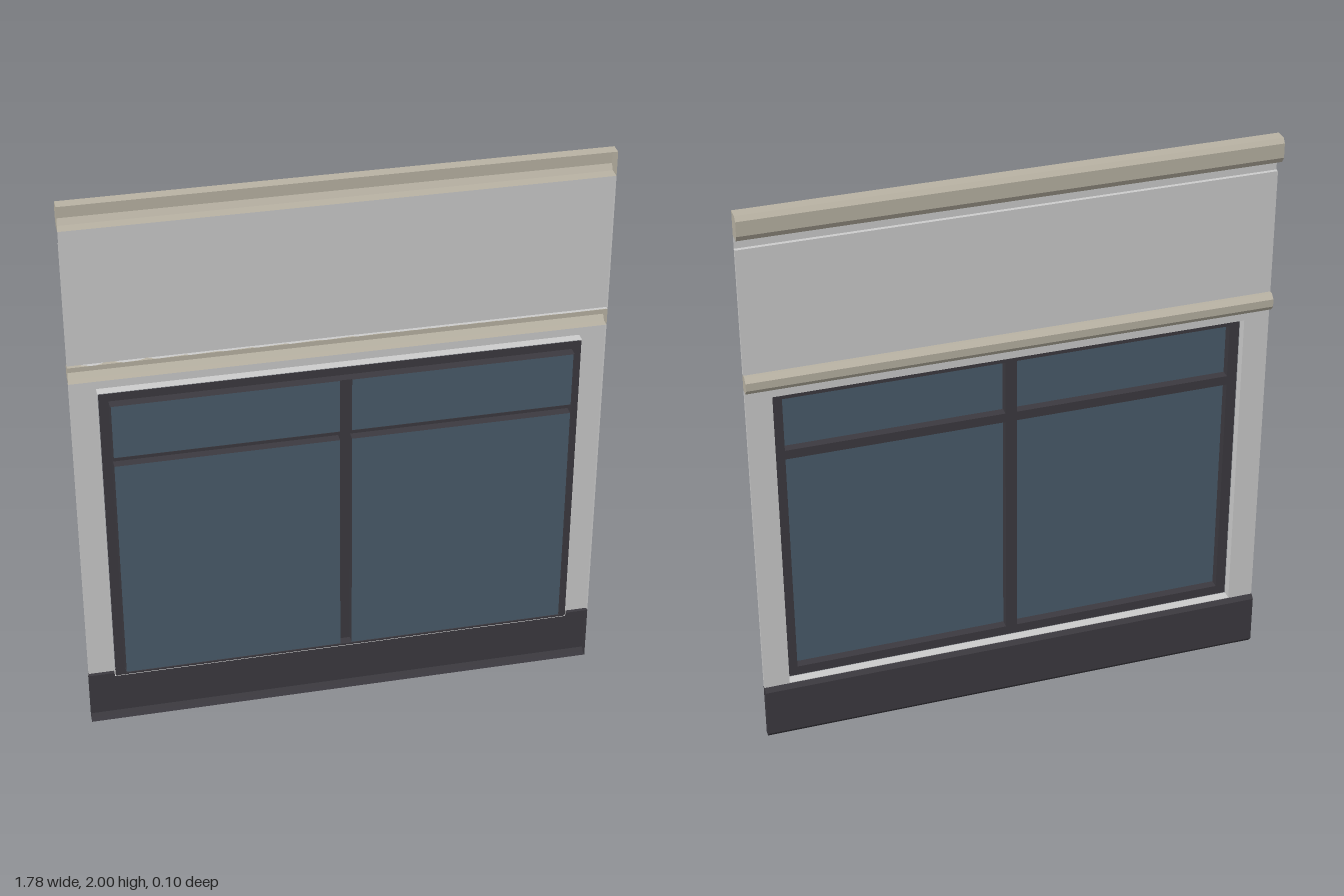
import * as THREE from 'three';
import { mergeGeometries } from 'three/addons/utils/BufferGeometryUtils.js';

const material = (name, color) => {
  const m = new THREE.MeshStandardMaterial({ color, side: THREE.DoubleSide });
  m.name = name;
  return m;
};

const W = 0.89; // half width of the facade

// Sweep a polyline of [x, y, z] points along an offset, giving flat faces
function strip(points, [dx, dy, dz]) {
  const pos = [];
  for (let i = 0; i < points.length - 1; i++) {
    const a = points[i], b = points[i + 1];
    const c = [b[0] + dx, b[1] + dy, b[2] + dz];
    const d = [a[0] + dx, a[1] + dy, a[2] + dz];
    pos.push(...a, ...b, ...c, ...a, ...c, ...d);
  }
  const g = new THREE.BufferGeometry();
  g.setAttribute('position', new THREE.Float32BufferAttribute(pos, 3));
  g.computeVertexNormals();
  return g;
}

// Flat polygon, stripped so that it merges with strips
function flat(shape) {
  const g = new THREE.ShapeGeometry(shape).toNonIndexed();
  g.deleteAttribute('uv');
  return g;
}

const polygon = (pts) => new THREE.Shape(pts.map(([x, y]) => new THREE.Vector2(x, y)));
const corners = ([x0, x1, y0, y1]) => [[x0, y0], [x1, y0], [x1, y1], [x0, y1]];

// Four walls around a rectangle, running from z0 to z1
function tunnel(rect, z0, z1) {
  const c = corners(rect);
  return strip([...c, c[0]].map(([x, y]) => [x, y, z0]), [0, 0, z1 - z0]);
}

// Horizontal profile of [depth, y] points, open at the rear, with end caps
function moulding(profile) {
  const parts = [strip(profile.map(([d, y]) => [-W, y, -d]), [2 * W, 0, 0])];
  for (const x of [-W, W]) {
    parts.push(flat(polygon(profile)).rotateY(Math.PI / 2).translate(x, 0, 0));
  }
  return mergeGeometries(parts);
}

export function createModel() {
  const group = new THREE.Group();
  const wall = material('light grey wall', 0xcccccc);
  const stone = material('beige stone', 0xb9b3a4);
  const dark = material('dark frame', 0x3c3a40);
  const glass = material('blue grey glass', 0x4a5c6b);
  const add = (name, geometry, mat) => {
    const mesh = new THREE.Mesh(geometry, mat);
    mesh.name = name;
    group.add(mesh);
  };

  // Horizontal bands
  add('cornice', moulding([[0, 2], [0.04, 2], [0.052, 1.985], [0.052, 1.935],
    [0.04, 1.915], [0, 1.915]]), stone);
  add('stringCourse', moulding([[0, 1.43], [0.026, 1.43], [0.042, 1.415], [0.042, 1.388],
    [0.028, 1.37], [0, 1.37]]), stone);
  add('plinth', moulding([[0, 0.2], [0.02, 0.2], [0.03, 0.188], [0.03, 0.014],
    [0.02, 0], [0, 0]]), dark);

  // Wall above the string course, and the recessed strip below the cornice
  add('upperWall', moulding([[0, 1.87], [0.013, 1.87], [0.013, 1.43], [0, 1.43]]), wall);
  add('recessedStrip', strip([[-W, 1.87, 0], [-W, 1.915, 0]], [2 * W, 0, 0]), wall);

  // Wall around the window, with its outer ends and the window reveal
  const opening = [-0.802, 0.802, 0.202, 1.335];
  const surround = polygon(corners([-W, W, 0.2, 1.37]));
  surround.holes.push(polygon(corners(opening)));
  add('windowWall', mergeGeometries([
    flat(surround).translate(0, 0, -0.013),
    ...[-W, W].map((x) => strip([[x, 0.2, -0.013], [x, 1.37, -0.013]], [0, 0, 0.013])),
    tunnel(opening, -0.013, 0.02),
  ]), wall);

  // Window frame: face with four openings, each running back to its pane
  const panes = [];
  for (const [x0, x1] of [[-0.765, -0.02], [0.02, 0.765]]) {
    for (const [y0, y1] of [[0.238, 1.075], [1.108, 1.302]]) panes.push([x0, x1, y0, y1]);
  }
  const face = polygon(corners([-0.8, 0.8, 0.204, 1.333]));
  panes.forEach((p) => face.holes.push(polygon(corners(p))));
  add('windowFrame', mergeGeometries([
    flat(face).translate(0, 0, 0.02),
    tunnel([-0.768, 0.768, 0.236, 1.304], 0.02, 0.052),
    ...panes.map((p) => tunnel(p, 0.02, 0.052)),
  ]), dark);

  // Glass
  add('windowPanes', mergeGeometries(
    panes.map((p) => flat(polygon(corners(p))).translate(0, 0, 0.051))), glass);

  return group;
}
